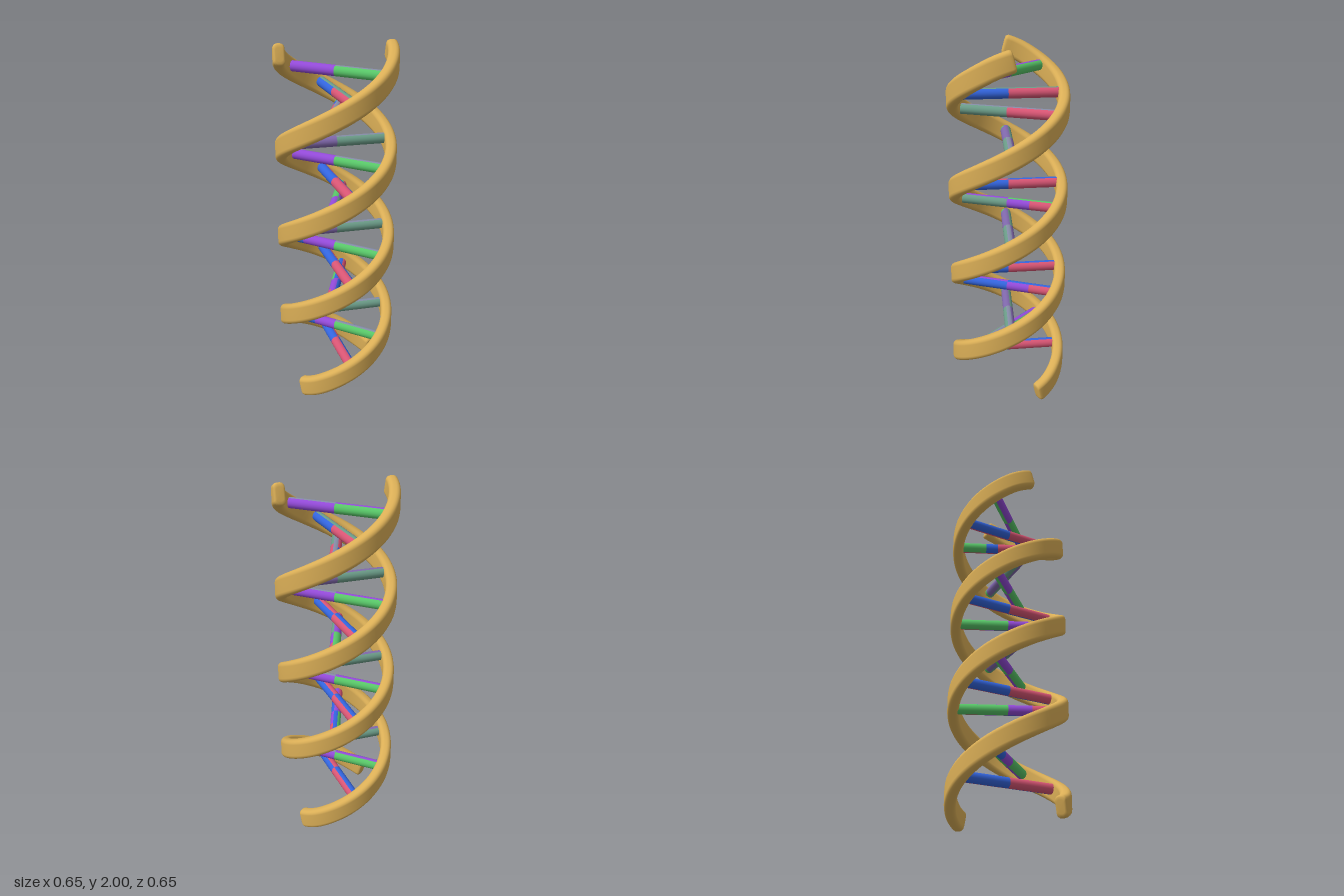
import * as THREE from 'three';

const mat = (name, color) => Object.assign(new THREE.MeshStandardMaterial({ color }), { name });
const rad = THREE.MathUtils.degToRad;

// Helix: angle 0 faces +z and turns toward +x while rising
const RADIUS = 0.295, PITCH = 1.006, BASE = 0.012;

// Rounded rectangle cross-section, [radial, across the ribbon]
function section(halfThick, halfWide, corner, steps) {
  const pts = [];
  [[1, 1], [-1, 1], [-1, -1], [1, -1]].forEach(([sx, sy], q) => {
    for (let i = 0; i <= steps; i++) {
      const a = (q + i / steps) * Math.PI / 2;
      pts.push([sx * (halfThick - corner) + Math.cos(a) * corner,
        sy * (halfWide - corner) + Math.sin(a) * corner]);
    }
  });
  return pts;
}

// Ribbon swept along the helix, levelling off slightly at its rounded closed ends
function strandGeometry(start, end, offset) {
  const pts = section(0.031, 0.057, 0.024, 4), n = pts.length;
  const rings = [[start, 0], [start, 0.6], [start + 0.3, 0.82], [start + 1.2, 0.94]];
  const count = 150;
  for (let i = 0; i <= count; i++) {
    rings.push([start + 3 + (end - start - 6) * i / count, 1]);
  }
  rings.push([end - 1.2, 0.94], [end - 0.3, 0.82], [end, 0.6], [end, 0]);

  const pos = [], index = [], ease = 25, flatten = 0.5;
  const out = new THREE.Vector3(), tan = new THREE.Vector3(), across = new THREE.Vector3(), p = new THREE.Vector3();
  rings.forEach(([deg, scale], i) => {
    const t = rad(deg + offset);
    const low = Math.max(0, start + ease - deg) / ease, high = Math.max(0, deg - end + ease) / ease;
    const rise = PITCH * (1 - flatten * (low + high));
    const y = BASE + PITCH / 360 * (deg + flatten * ease / 2 * (low * low - high * high));
    out.set(Math.sin(t), 0, Math.cos(t));
    tan.set(RADIUS * Math.cos(t), rise / (2 * Math.PI), -RADIUS * Math.sin(t)).normalize();
    across.crossVectors(tan, out);
    pts.forEach(([u, v], j) => {
      p.copy(out).multiplyScalar(RADIUS + u * scale).addScaledVector(across, v * scale);
      pos.push(p.x, p.y + y, p.z);
      if (i < rings.length - 1) {
        const a = i * n + j, b = i * n + (j + 1) % n;
        index.push(a, b, a + n, b, b + n, a + n);
      }
    });
  });
  const geo = new THREE.BufferGeometry();
  geo.setAttribute('position', new THREE.Float32BufferAttribute(pos, 3));
  geo.setIndex(index);
  geo.computeVertexNormals();
  return geo;
}

export function createModel() {
  const model = new THREE.Group();
  model.name = 'doubleHelix';
  const gold = mat('gold', 0xdaae56), green = mat('green', 0x58c668), red = mat('rose', 0xd85574),
    blue = mat('blue', 0x3365de), purple = mat('purple', 0x934ad8), teal = mat('teal', 0x6b9c88),
    slate = mat('slate', 0x858ca6), mauve = mat('mauve', 0x8068ac);

  // Two strands half a turn apart
  [['firstStrand', 14, 700, 0], ['secondStrand', 9, 701, 180]].forEach(([name, start, end, offset]) => {
    const strand = new THREE.Mesh(strandGeometry(start, end, offset), gold);
    strand.name = name;
    model.add(strand);
  });

  // Rung faces: start and sweep around the rod
  const spans = { front: [-66, 156], back: [90, 156], top: [246, 48] };
  const END = 0.285;

  // Bands along each face: colour and where it stops
  const halves = (a, b) => [[a, 0], [b, END]];
  const purpleGreen = {
    front: halves(purple, green), back: halves(green, purple), top: halves(purple, slate),
  };
  const blueRed = { front: halves(blue, red), back: halves(red, blue), top: halves(blue, red) };
  const blueRedUpper = { ...blueRed, top: [[teal, END]] };
  const greenRed = {
    front: [[green, 0], [purple, 0.13], [red, END]],
    back: [[red, -0.13], [purple, 0], [teal, END]],
    top: halves(green, purple),
  };
  const greenRedUpper = {
    front: [[green, -0.13], [blue, -0.06], [red, 0.1], [purple, END]],
    back: [[red, 0], [teal, END]],
    top: [[slate, END]],
  };
  const greenRedLower = { ...greenRed, back: [[red, -0.13], [purple, 0], [blue, END]], top: halves(blue, purple) };
  const mauveTeal = {
    front: [[green, -0.245], [mauve, 0], [teal, END]],
    back: [[teal, 0], [mauve, 0.245], [green, END]],
    top: halves(slate, mauve),
  };
  const tipped = (stop) => ({ ...purpleGreen, front: [[blue, stop], ...purpleGreen.front] });

  // Rungs repeat every half turn: height, heading, colours
  const rungs = [
    [1.853, 116, purpleGreen], [1.365, 116, purpleGreen], [0.858, 116, tipped(-0.2)], [0.34, 116, tipped(-0.13)],
    [1.74, 72, blueRedUpper], [1.24, 72, blueRed], [0.735, 72, blueRed], [0.225, 72, blueRed],
    [1.64, 47, greenRedUpper], [1.13, 47, greenRed], [0.622, 47, greenRedLower],
    [1.475, -22, mauveTeal], [0.97, -22, mauveTeal], [0.458, -22, mauveTeal],
  ];
  rungs.forEach(([y, heading, colours], i) => {
    const rung = new THREE.Group();
    rung.name = 'rung' + (i + 1);
    rung.position.y = y;
    rung.rotation.y = rad(heading - 90);
    for (const face in spans) {
      const [from, sweep] = spans[face];
      let begin = -END;
      colours[face].forEach(([colour, stop], k) => {
        const geo = new THREE.CylinderGeometry(0.029, 0.029, stop - begin, 8, 1, true, rad(from), rad(sweep));
        geo.rotateZ(-Math.PI / 2).translate((begin + stop) / 2, 0, 0);
        const band = new THREE.Mesh(geo, colour);
        band.name = face + 'Band' + (k + 1);
        rung.add(band);
        begin = stop;
      });
    }
    model.add(rung);
  });
  return model;
}
